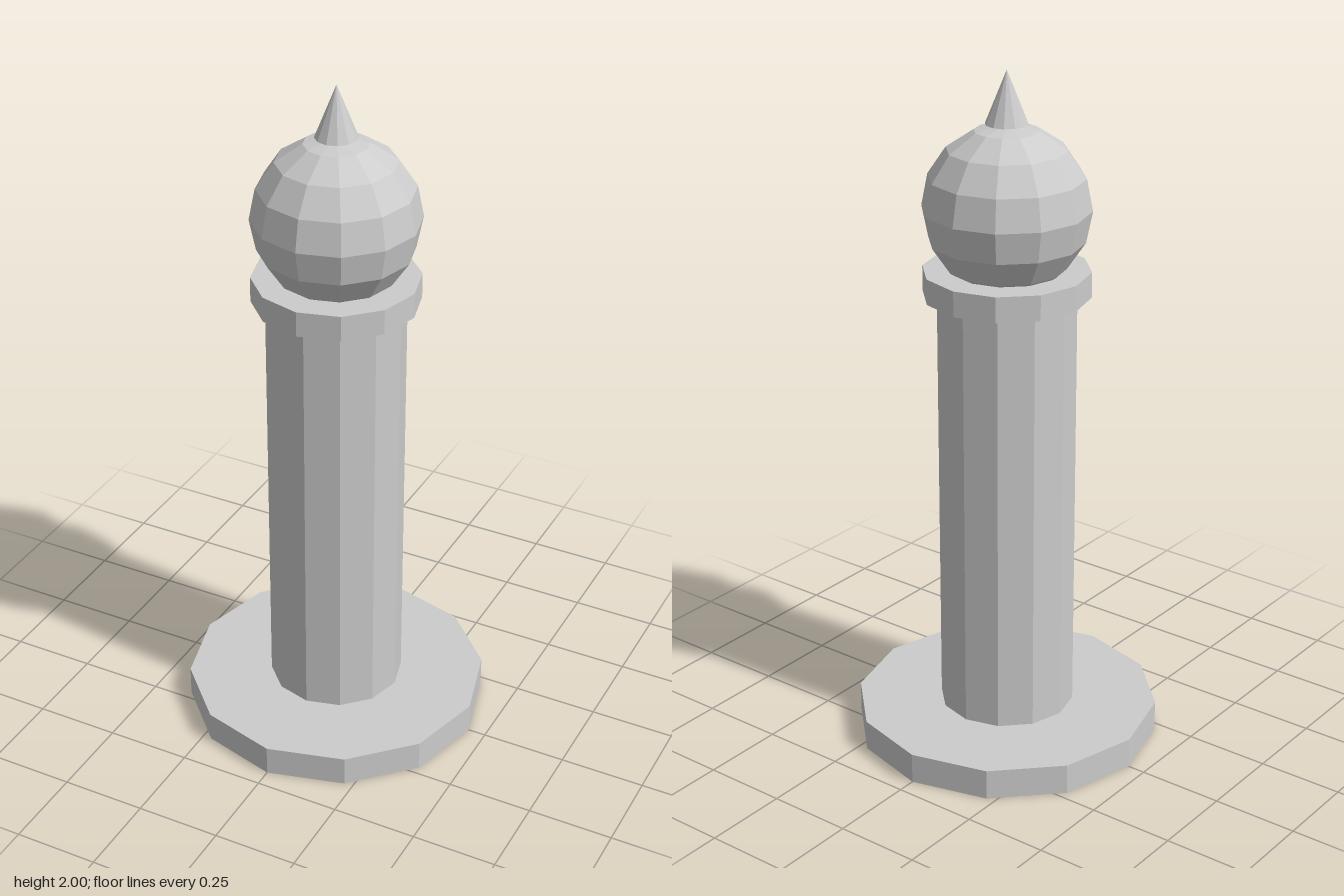
import * as THREE from 'three';

const SIDES = 12;

export function createModel() {
  const model = new THREE.Group();
  model.name = 'bollard';
  const stone = new THREE.MeshStandardMaterial({ color: 0xcccccc, flatShading: true });
  stone.name = 'paleGrey';

  const add = (name, geometry, y) => {
    const mesh = new THREE.Mesh(geometry, stone);
    mesh.name = name;
    mesh.position.y = y;
    model.add(mesh);
  };

  // Upright twelve-sided parts: name, top radius, bottom radius, bottom y, top y
  const drums = [
    ['basePlate', 0.447, 0.447, 0, 0.09],
    ['shaft', 0.198, 0.198, 0.09, 1.363],
    ['collar', 0.238, 0.238, 1.363, 1.437],
    ['spike', 0, 0.06, 1.851, 2],
  ];
  for (const [name, top, bottom, y0, y1] of drums) {
    const geometry = top > 0
      ? new THREE.CylinderGeometry(top, bottom, y1 - y0, SIDES)
      : new THREE.ConeGeometry(bottom, y1 - y0, SIDES);
    add(name, geometry, (y0 + y1) / 2);
  }

  // Faceted ball resting in the collar
  add('ball', new THREE.SphereGeometry(0.238, SIDES, 8), 1.613);

  return model;
}
